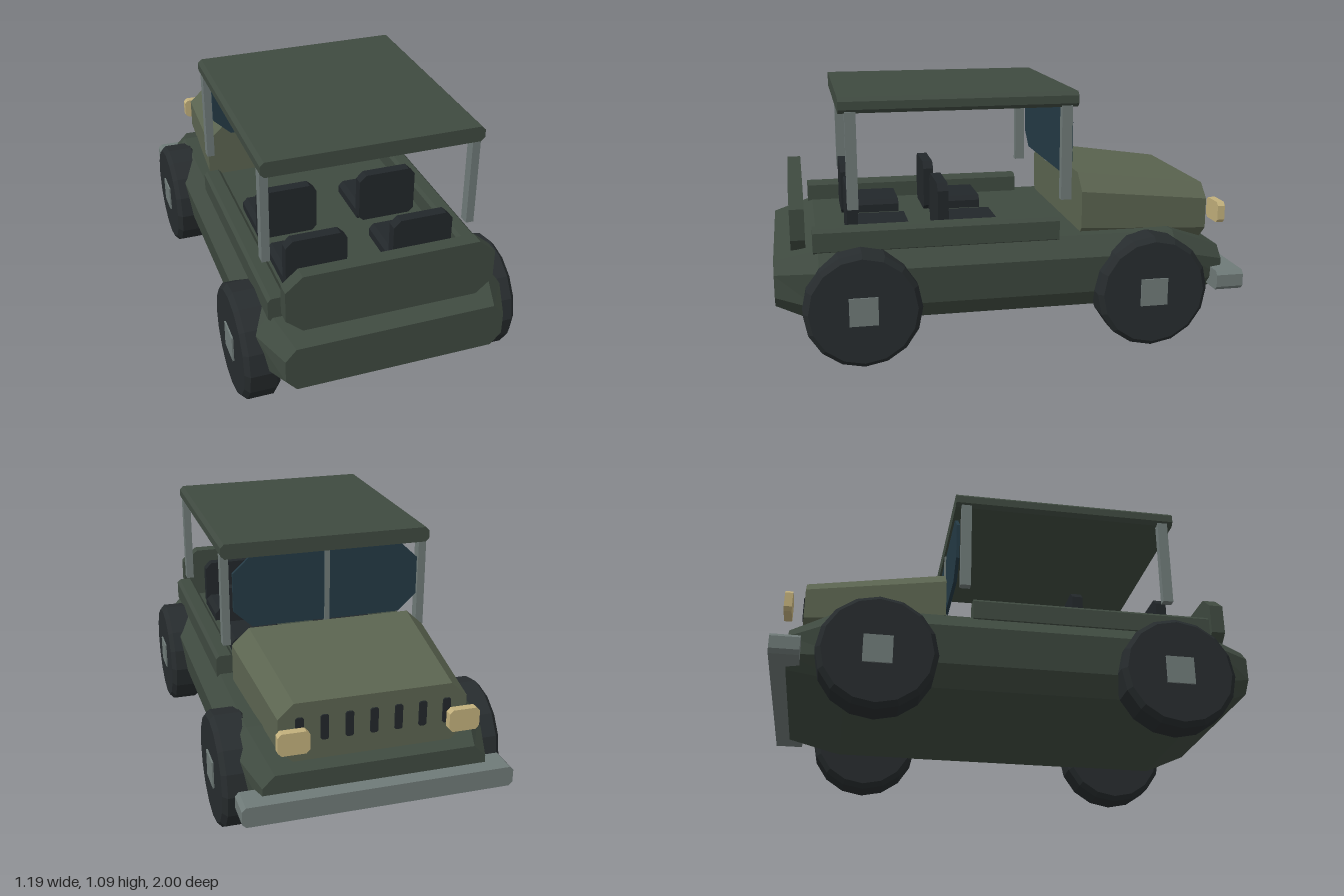
import * as THREE from 'three';

const mat = (color) => new THREE.MeshStandardMaterial({ color, flatShading: true });

// Eight-cornered outline, counter-clockwise; the lower half may be narrower
function octagon(w, y0, y1, cx, cy, lower = w) {
  return [[lower - cx, y0], [lower, y0 + cy], [w, y1 - cy], [w - cx, y1],
    [cx - w, y1], [-w, y1 - cy], [-lower, y0 + cy], [cx - lower, y0]];
}

// Skin and caps over outlines placed at increasing z
function loft(sections) {
  const pos = [];
  const rings = sections.map(({ z, pts }) => pts.map(([x, y]) => [x, y, z]));
  const tri = (a, b, c) => pos.push(...a, ...b, ...c);
  const n = rings[0].length;
  for (let s = 0; s < rings.length - 1; s++) {
    const a = rings[s], b = rings[s + 1];
    for (let i = 0; i < n; i++) {
      const j = (i + 1) % n;
      tri(a[i], a[j], b[j]);
      tri(a[i], b[j], b[i]);
    }
  }
  const back = rings[0], front = rings[rings.length - 1];
  for (let i = 1; i < n - 1; i++) {
    tri(back[0], back[i + 1], back[i]);
    tri(front[0], front[i], front[i + 1]);
  }
  const g = new THREE.BufferGeometry();
  g.setAttribute('position', new THREE.Float32BufferAttribute(pos, 3));
  g.computeVertexNormals();
  return g;
}

// Slab with chamfered corners, spanning y0..y1 and z0..z1
function slab(halfWidth, y0, y1, z0, z1, cx, cy = cx) {
  const pts = octagon(halfWidth, y0, y1, cx, cy);
  return loft([{ z: z0, pts }, { z: z1, pts }]);
}

export function createModel() {
  const group = new THREE.Group();
  const paint = mat(0x3f4a40), hoodPaint = mat(0x5b6450), rubber = mat(0x272c2e);
  const metal = mat(0x6f7a78), glass = mat(0x243a45), dark = mat(0x22272a), lamp = mat(0xc2b07c);

  const add = (name, geometry, material, x = 0, y = 0, z = 0) => {
    const mesh = new THREE.Mesh(geometry, material);
    mesh.name = name;
    mesh.position.set(x, y, z);
    group.add(mesh);
    return mesh;
  };

  // Lower body tub, tapered at both ends
  add('body', loft([
    { z: -0.935, pts: octagon(0.46, 0.21, 0.385, 0.05, 0.05) },
    { z: -0.7, pts: octagon(0.535, 0.16, 0.48, 0.07, 0.08, 0.515) },
    { z: 0.82, pts: octagon(0.535, 0.16, 0.48, 0.07, 0.08, 0.515) },
    { z: 1, pts: octagon(0.46, 0.235, 0.43, 0.045, 0.05) },
  ]), paint);

  // Sloping hood
  add('hood', loft([
    { z: -0.885, pts: octagon(0.385, 0.4, 0.652, 0.065, 0.06) },
    { z: -0.3, pts: octagon(0.43, 0.43, 0.73, 0.075, 0.07) },
  ]), hoodPaint);

  // Grille slots
  const slot = slab(0.016, 0.487, 0.592, -0.892, -0.88, 0.006);
  for (let i = -3; i <= 3; i++) add('grilleSlot', slot, dark, i * 0.1);

  add('bumper', slab(0.555, 0.22, 0.305, -1, -0.88, 0.016), metal);
  add('tailPanel', slab(0.435, 0.455, 0.705, 0.868, 0.928, 0.07, 0.06), paint);
  add('roof', slab(0.46, 1.03, 1.095, -0.27, 0.72, 0.016), paint);

  // Windshield with its centre bar
  add('windshield', slab(0.41, 0.718, 1.035, -0.26, -0.245, 0.08, 0.075), glass);
  add('windshieldBar', new THREE.BoxGeometry(0.022, 0.32, 0.02), metal, 0, 0.872, -0.257);

  // Parts mirrored left and right
  const wheelProfile = [[0, -0.075], [0.222, -0.075], [0.243, -0.055],
    [0.243, 0.055], [0.222, 0.075], [0, 0.075]].map(([r, y]) => new THREE.Vector2(r, y));
  const wheel = new THREE.LatheGeometry(wheelProfile, 16).rotateZ(Math.PI / 2);
  const hub = new THREE.BoxGeometry(0.04, 0.118, 0.118);
  const post = new THREE.BoxGeometry(0.034, 0.4, 0.045);
  const headlight = slab(0.063, 0.482, 0.575, -0.967, -0.934, 0.015);
  const rail = slab(0.04, 0.458, 0.565, -0.19, 0.84, 0.014);
  const seatBack = slab(0.13, 0.47, 0.705, -0.023, 0.023, 0.03);
  const cushion = slab(0.13, 0.46, 0.535, -0.24, 0, 0.02);

  for (const side of [-1, 1]) {
    add('headlight', headlight, lamp, side * 0.343);
    add('sideRail', rail, paint, side * 0.439);
    for (const z of [-0.58, 0.65]) {
      add('wheel', wheel, rubber, side * 0.515, 0.245, z);
      add('hub', hub, metal, side * 0.577, 0.247, z);
    }
    for (const z of [-0.222, 0.672]) add('roofPost', post, metal, side * 0.44, 0.837, z);
    for (const z of [0.288, 0.67]) {
      add('seatBack', seatBack, dark, side * 0.23, 0, z);
      add('seatCushion', cushion, dark, side * 0.23, 0, z);
    }
  }
  return group;
}
